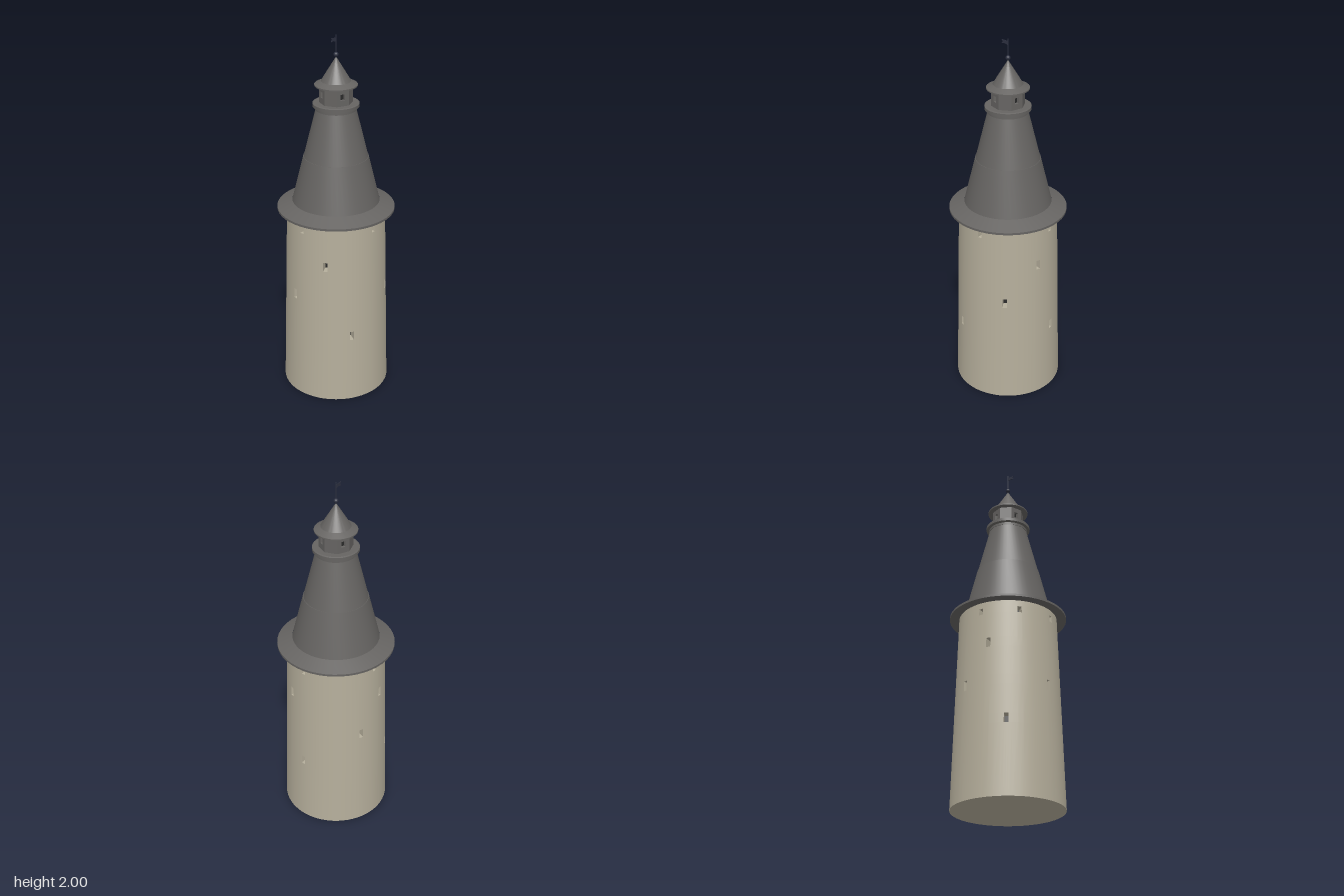
import * as THREE from 'three';
import { toCreasedNormals } from 'three/addons/utils/BufferGeometryUtils.js';

const DEG = Math.PI / 180;
const mat = (color, side = THREE.FrontSide) => new THREE.MeshStandardMaterial({ color, side });
const stone = mat(0xb5ae9b);
const slate = mat(0x666462);
const dark = mat(0x2a2a2a);
const metal = mat(0x2c3040);

// Upright wall built on an angle/height grid, with windows sunk into it.
// Returns the wall with its window reveals, and the dark panes behind them.
function recessedWall(radius, y0, y1, segments, windows, depth) {
  const angles = [], heights = [y0, y1];
  for (let i = 0; i <= segments; i++) angles.push((i / segments) * 360);
  for (const w of windows) {
    w.half = w.width / 2 / radius(w.y, w.angle) / DEG;
    if (w.angle < w.half) w.angle += 360;
    angles.push(w.angle - w.half, w.angle + w.half);
    heights.push(w.y - w.height / 2, w.y + w.height / 2);
  }
  // a window straddling the seam carries on past 360
  const start = Math.max(0, ...angles) - 360;
  const tidy = (list) => list.sort((a, b) => a - b).filter((v, i, l) => i === 0 || v - l[i - 1] > 1e-4);
  const A = tidy(angles.concat(start).filter((a) => a >= start - 1e-6));
  const Y = tidy(heights);
  const wall = [], panes = [];
  const point = (a, y, sink) => {
    const r = radius(y, a) - sink;
    return [r * Math.sin(a * DEG), y, r * Math.cos(a * DEG)];
  };
  const quad = (out, a, b, c, d) => out.push(...a, ...b, ...c, ...a, ...c, ...d);

  for (let i = 0; i < A.length - 1; i++) {
    for (let j = 0; j < Y.length - 1; j++) {
      const [a0, a1, b0, b1] = [A[i], A[i + 1], Y[j], Y[j + 1]];
      const am = (a0 + a1) / 2, ym = (b0 + b1) / 2;
      const w = windows.find((v) => Math.abs(am - v.angle) < v.half && Math.abs(ym - v.y) < v.height / 2);
      const face = (s) => [point(a0, b0, s), point(a1, b0, s), point(a1, b1, s), point(a0, b1, s)];
      const o = face(0);
      if (!w) { quad(wall, ...o); continue; }
      const n = face(depth);
      quad(panes, ...n);
      // reveals only along the outer edges of the opening
      const edge = [b0 - (w.y - w.height / 2), a1 - (w.angle + w.half), b1 - (w.y + w.height / 2), a0 - (w.angle - w.half)];
      edge.forEach((e, k) => {
        const m = (k + 1) % 4;
        if (Math.abs(e) < 2e-4) quad(wall, o[k], o[m], n[m], n[k]);
      });
    }
  }
  return [wall, panes].map((list) => {
    const g = new THREE.BufferGeometry();
    g.setAttribute('position', new THREE.Float32BufferAttribute(list, 3));
    return toCreasedNormals(g, 0.5);
  });
}

export function createModel() {
  const model = new THREE.Group();
  const add = (name, geometry, material) => {
    const mesh = new THREE.Mesh(geometry, material);
    mesh.name = name;
    model.add(mesh);
    return mesh;
  };
  const lathe = (name, profile, material) => add(name, toCreasedNormals(
    new THREE.LatheGeometry(profile.map(([r, y]) => new THREE.Vector2(r, y)), 48), 0.3), material);

  // Tapered stone tower with slit windows in four tiers
  const tiers = [
    { y: 0.4, height: 0.05, angles: [60, 180, 300] },
    { y: 0.61, height: 0.054, angles: [120, 250, 350] },
    { y: 0.82, height: 0.052, angles: [30, 160, 280] },
    { y: 1.005, height: 0.034, angles: [0, 90, 180, 270, 315] },
  ];
  const slits = tiers.flatMap(({ y, height, angles }) =>
    angles.map((angle) => ({ angle, y, height, width: 0.023 })));
  const [tower, towerPanes] = recessedWall((y) => 0.295 - 0.028 * y, 0, 1.06, 60, slits, 0.05);
  add('towerWall', tower, stone);
  add('towerWindowPanes', towerPanes, dark);
  add('towerBase', new THREE.CircleGeometry(0.295, 60).rotateX(Math.PI / 2), stone);

  // Wide eave and the steep two-stage roof
  lathe('eave', [[0.2, 1.056], [0.317, 1.056], [0.317, 1.068], [0.235, 1.102]], slate);
  lathe('lowerRoof', [[0.235, 1.1], [0.173, 1.352], [0.17, 1.352]], slate);
  lathe('upperRoof', [[0.171, 1.35], [0.105, 1.615]], slate);

  // Gallery ring carrying the lantern
  lathe('galleryRing', [[0.09, 1.61], [0.108, 1.61], [0.108, 1.624], [0.122, 1.628],
    [0.122, 1.645], [0.115, 1.648], [0, 1.648]], slate);

  // Eight-sided lantern with a window in every other panel
  const octagon = (y, a) => {
    const fromPanel = (((a % 45) + 45) % 45) - 22.5;
    return 0.088 * Math.cos(22.5 * DEG) / Math.cos(fromPanel * DEG);
  };
  const openings = [67.5, 157.5, 247.5, 337.5].map((angle) => ({ angle, y: 1.695, height: 0.032, width: 0.024 }));
  const [lantern, lanternPanes] = recessedWall(octagon, 1.645, 1.745, 8, openings, 0.015);
  add('lanternWall', lantern, slate);
  add('lanternWindowPanes', lanternPanes, dark);

  // Flared lantern roof
  lathe('lanternRoof', [[0, 1.738], [0.112, 1.738], [0.112, 1.745], [0.078, 1.762], [0.003, 1.885]], slate);

  // Ball, mast and swallow-tailed vane
  add('finialBall', new THREE.SphereGeometry(0.013, 20, 14), metal).position.y = 1.9;
  add('mast', new THREE.CylinderGeometry(0.003, 0.003, 0.13, 10), metal).position.y = 1.935;
  const vane = new THREE.Shape([[0, 1.966], [0.02, 1.972], [0.038, 1.97], [0.031, 1.98], [0.038, 1.991], [0.018, 1.988], [0, 1.988]]
    .map(([z, y]) => new THREE.Vector2(z, y)));
  const vaneGeometry = new THREE.ExtrudeGeometry(vane, { depth: 0.003, bevelEnabled: false });
  vaneGeometry.translate(0, 0, -0.0015).rotateY(-Math.PI / 2);
  add('vane', vaneGeometry, metal);

  return model;
}
